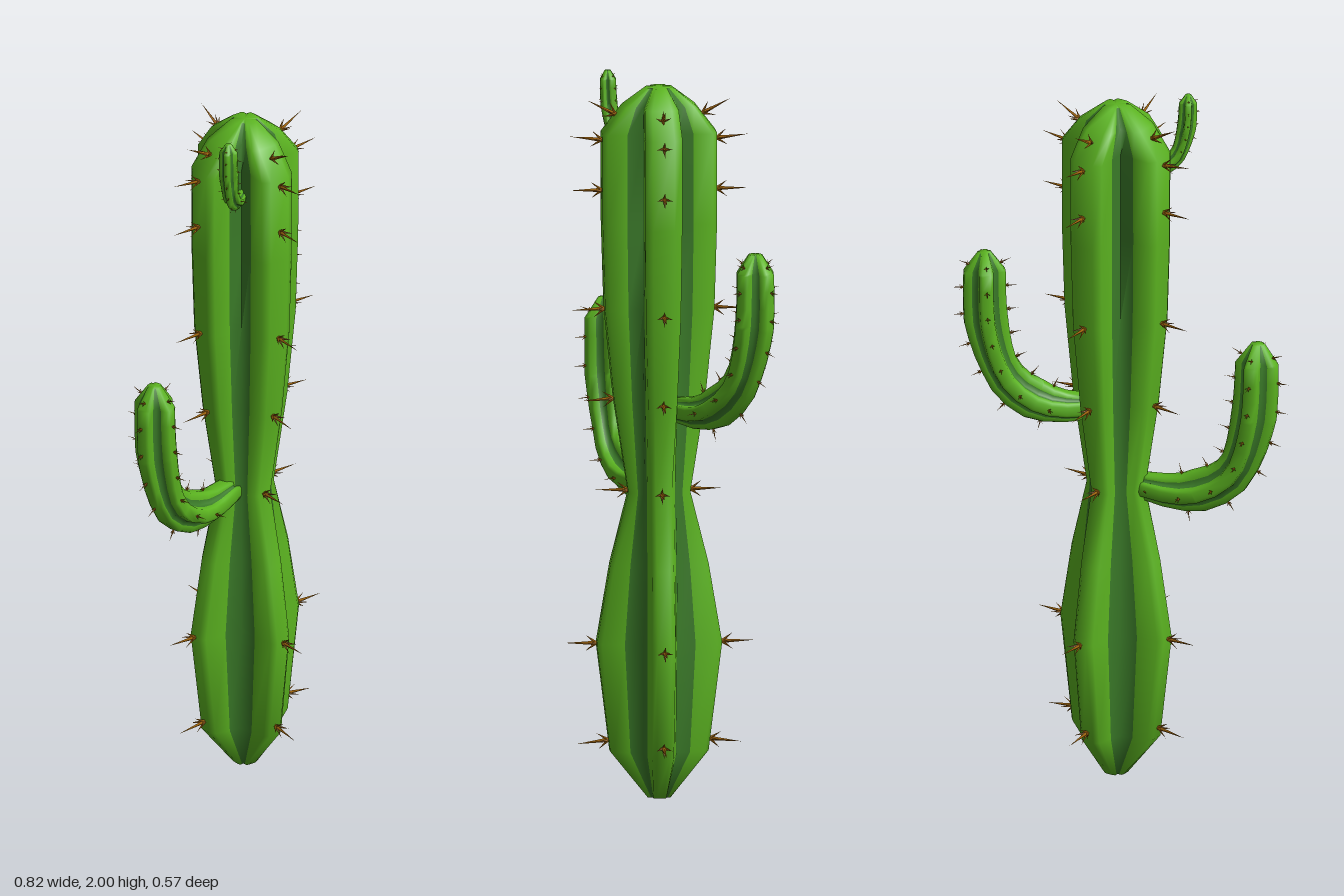
import * as THREE from 'three';
import { mergeGeometries, toCreasedNormals } from 'three/addons/utils/BufferGeometryUtils.js';

const V = (x, y, z) => new THREE.Vector3(x, y, z);

function material(name, color) {
  const m = new THREE.MeshStandardMaterial({ color });
  m.name = name;
  return m;
}

// linear lookup of column col in [[u, radius, ribHalfWidth], ...]
function lookup(keys, u, col) {
  for (let i = 1; i < keys.length; i++) {
    const a = keys[i - 1], b = keys[i];
    if (u <= b[0]) return THREE.MathUtils.lerp(a[col], b[col], Math.max(0, (u - a[0]) / (b[0] - a[0])));
  }
  return keys[keys.length - 1][col];
}

// plus-shaped cross-section with bevelled rib tips, counter-clockwise
function section(r, ribWidth, valley) {
  const w = Math.min(ribWidth, 0.55 * r), v = Math.min(valley, 0.55 * r);
  const t = w * 0.58, sh = r * 0.92;
  const d = v + (sh - v) * 0.45, dw = w + (v - w) * 0.55;
  const quarter = [[d, -dw], [sh, -w], [r, -t], [r, t], [sh, w], [d, dw], [v, v]];
  const pts = [];
  for (let q = 0; q < 4; q++) {
    for (const [x, y] of quarter) pts.push([[x, y], [-y, x], [-x, -y], [y, -x]][q]);
  }
  return pts;
}

// one prickle cluster: a long central thorn and four short slanted ones
function cluster(pos, dir, side, size) {
  const up = V().crossVectors(side, dir).normalize();
  const thorn = (d, len, rad) => {
    const g = new THREE.ConeGeometry(rad, len, 4);
    g.translate(0, len / 2 - 0.04 * size, 0);
    g.applyQuaternion(new THREE.Quaternion().setFromUnitVectors(V(0, 1, 0), d));
    return g.translate(pos.x, pos.y, pos.z);
  };
  const list = [thorn(dir, size, size * 0.07)];
  for (const [a, b] of [[1, 0], [-1, 0], [0, 1], [0, -1]]) {
    const d = dir.clone().addScaledVector(side, a * 0.75).addScaledVector(up, b * 0.75).normalize();
    list.push(thorn(d, size * 0.45, size * 0.055));
  }
  return list;
}

// a ribbed stem swept along a curve
function stem(name, curve, keys, valley, extraRings, spineAt, spineSize, mats) {
  const length = curve.getLength();
  const h = curve.getPoint(1).sub(curve.getPoint(0)).setY(0);
  if (h.length() < 0.001) h.set(1, 0, 0);
  const side = V().crossVectors(h.normalize(), V(0, 1, 0)).normalize();
  const frame = u => {
    const T = curve.getTangentAt(u);
    return { c: curve.getPointAt(u), T, N: V().crossVectors(side, T).normalize() };
  };

  const us = keys.map(k => k[0]);
  for (let i = 1; i < extraRings; i++) us.push(i / extraRings);
  us.sort((a, b) => a - b);
  const rings = us.filter((u, i) => i === 0 || u - us[i - 1] > 0.004).map(u => {
    const { c, N } = frame(u);
    return section(lookup(keys, u, 1), lookup(keys, u, 2), valley).map(([a, b]) =>
      c.clone().addScaledVector(N, a).addScaledVector(side, b));
  });

  // rib faces first, then valley faces in a second material group
  const ribs = [], valleys = [];
  const tri = (out, ...p) => p.forEach(v => out.push(v.x, v.y, v.z));
  const n = 28;
  for (let i = 0; i < rings.length - 1; i++) {
    for (let j = 0; j < n; j++) {
      const k = (j + 1) % n, A = rings[i], B = rings[i + 1];
      const out = j % 7 >= 5 ? valleys : ribs;
      tri(out, A[j], A[k], B[k]);
      tri(out, A[j], B[k], B[j]);
    }
  }
  const c0 = curve.getPointAt(0), c1 = curve.getPointAt(1);
  for (let j = 0; j < n; j++) {
    const k = (j + 1) % n, A = rings[0], B = rings[rings.length - 1];
    tri(ribs, c0, A[k], A[j]);
    tri(ribs, c1, B[j], B[k]);
  }
  const skin = new THREE.BufferGeometry();
  skin.setAttribute('position', new THREE.Float32BufferAttribute([...ribs, ...valleys], 3));
  skin.addGroup(0, ribs.length / 3, 0);
  skin.addGroup(ribs.length / 3, valleys.length / 3, 1);

  // prickles along the crest of each rib
  const thorns = [];
  for (const u of spineAt) {
    const { c, T, N } = frame(u);
    const r = lookup(keys, u, 1), e = 0.02;
    const slope = (lookup(keys, u + e, 1) - lookup(keys, u - e, 1)) / (2 * e * length);
    for (const [a, b] of [[1, 0], [-1, 0], [0, 1], [0, -1]]) {
      const out = N.clone().multiplyScalar(a).addScaledVector(side, b);
      const pos = c.clone().addScaledVector(out, r);
      const dir = out.clone().addScaledVector(T, -slope * 0.6).normalize();
      thorns.push(...cluster(pos, dir, V().crossVectors(out, T).normalize(), spineSize));
    }
  }

  const group = new THREE.Group();
  group.name = name;
  const add = (label, geometry, mat) => {
    const mesh = new THREE.Mesh(geometry, mat);
    mesh.name = name + label;
    group.add(mesh);
  };
  add('Skin', toCreasedNormals(skin, 1.6), [mats.green, mats.dark]);
  add('Prickles', mergeGeometries(thorns), mats.thorn);
  return group;
}

export function createModel() {
  const mats = {
    green: material('cactus green', 0x5bb320),
    dark: material('valley green', 0x3a7a28),
    thorn: material('thorn brown', 0xa5680f),
  };
  const model = new THREE.Group();
  model.name = 'cactus';

  // trunk: two bulges with a waist between, ribs broader toward the top
  const H = 1.975;
  const scaleY = y => y / H;
  const profile = [[0, 0.032, 0.02], [0.13, 0.135, 0.03], [0.43, 0.172, 0.032], [0.65, 0.135, 0.03],
    [0.85, 0.085, 0.028], [1.11, 0.125, 0.04], [1.36, 0.15, 0.048], [1.6, 0.157, 0.051],
    [1.85, 0.157, 0.052], [1.925, 0.1, 0.046], [H, 0.036, 0.03]]
    .map(([y, r, w]) => [scaleY(y), r, w]);
  model.add(stem('trunk', new THREE.LineCurve3(V(0.07, 0, 0.03), V(0.07, H, 0.03)), profile, 0.047, 1,
    [0.16, 0.43, 0.855, 1.11, 1.36, 1.69, 1.83, 1.9].map(scaleY), 0.092, mats));

  // arms: out from the trunk, then bending upward
  const spineAt = [0.22, 0.36, 0.5, 0.62, 0.74, 0.85, 0.95];
  const arm = (name, pts, R, spine) => {
    const curve = new THREE.CatmullRomCurve3(pts.map(p => V(...p)));
    const keys = [[0, 0.5], [0.28, 0.95], [0.5, 0.85], [0.7, 1], [0.92, 0.95], [1, 0.3]]
      .map(([u, s]) => [u, R * s, R * 0.32]);
    model.add(stem(name, curve, keys, R * 0.38, 14, spineAt, spine, mats));
  };
  arm('rightArm', [[0.03, 0.86, 0.04], [-0.13, 0.855, 0.085], [-0.25, 0.92, 0.12], [-0.31, 1.08, 0.135],
    [-0.325, 1.32, 0.14]], 0.062, 0.036);
  arm('leftArm', [[0.1, 1.085, 0], [0.21, 1.095, -0.09], [0.29, 1.17, -0.165], [0.335, 1.33, -0.205],
    [0.342, 1.555, -0.21]], 0.06, 0.036);
  arm('smallArm', [[0.04, 1.775, 0.06], [-0.01, 1.775, 0.1], [-0.055, 1.81, 0.135], [-0.078, 1.89, 0.152],
    [-0.083, 1.995, 0.157]], 0.026, 0.014);

  return model;
}
